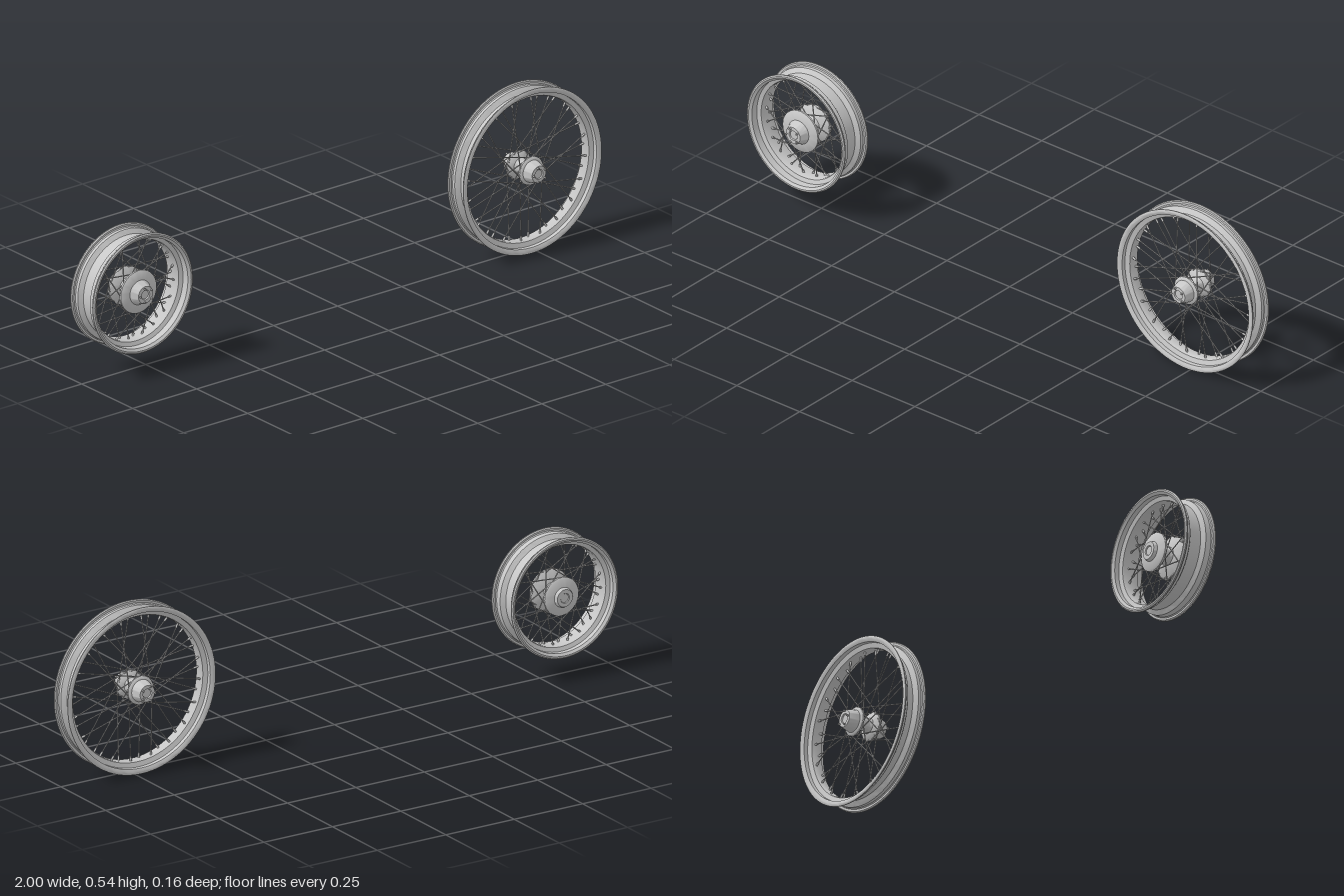
import * as THREE from 'three';
import { toCreasedNormals } from 'three/addons/utils/BufferGeometryUtils.js';

const steel = new THREE.MeshStandardMaterial({ color: 0xc8c8c8 });
steel.name = 'steel grey';

function add(parent, name, geometry) {
  const mesh = new THREE.Mesh(geometry, steel);
  mesh.name = name;
  parent.add(mesh);
  return mesh;
}

// Revolve [radius, z] points about the z axis, keeping hard steps crisp.
function turned(profile, segments) {
  const g = new THREE.LatheGeometry(profile.map(([r, z]) => new THREE.Vector2(r, z)), segments);
  g.rotateX(Math.PI / 2);
  return toCreasedNormals(g, 0.6);
}

// Round bar from a to b.
function bar(parent, name, a, b, radius, sides) {
  const dir = b.clone().sub(a);
  const mesh = add(parent, name, new THREE.CylinderGeometry(radius, radius, dir.length(), sides));
  mesh.position.copy(a).add(b).multiplyScalar(0.5);
  mesh.quaternion.setFromUnitVectors(new THREE.Vector3(0, 1, 0), dir.normalize());
}

const polar = (r, angle, z) => new THREE.Vector3(r * Math.cos(angle), r * Math.sin(angle), z);

// Closed section of a drop-centre rim with rolled lips.
function rimProfile({ radius, seat, well, half, lip, wellFrom, wellTo }) {
  const t = 0.005;
  const outer = [
    [seat, -half + lip + 0.003], [seat, wellFrom - 0.006], [seat - 0.003, wellFrom - 0.003],
    [well + 0.003, wellFrom], [well, wellFrom + 0.003],
    [well, wellTo - 0.003], [well + 0.003, wellTo], [seat - 0.003, wellTo + 0.003],
    [seat, wellTo + 0.006], [seat, half - lip - 0.003],
  ];
  const front = [
    [seat + 0.003, half - lip], [radius - 0.003, half - lip], [radius, half - lip * 0.65],
    [radius, half - lip * 0.3], [radius - 0.004, half], [radius - 0.009, half],
    [seat - t, half - lip * 0.6],
  ];
  const inner = [
    [seat - t, wellTo + 0.009], [well - t + 0.002, wellTo + 0.004], [well - t, wellTo],
    [well - t, wellFrom], [well - t + 0.002, wellFrom - 0.004], [seat - t, wellFrom - 0.009],
  ];
  const back = front.map(([r, z]) => [r, -z]).reverse();
  return [...outer, ...front, ...inner, ...back, outer[0]];
}

function makeWheel(name, o) {
  const wheel = new THREE.Group();
  wheel.name = name;
  add(wheel, 'rim', turned(rimProfile(o), 96));
  add(wheel, 'hub', turned(o.hub, 48));

  // Crossed spokes, alternating between flanges and lacing directions
  const spokes = new THREE.Group();
  spokes.name = 'spokes';
  wheel.add(spokes);
  const count = 40, mid = (o.wellFrom + o.wellTo) / 2;
  for (let k = 0; k < count; k++) {
    const side = k % 2 ? 1 : -1;
    const lace = Math.floor(k / 2) % 2 ? 1 : -1;
    const a = ((k + 0.5) / count) * Math.PI * 2;
    const flangeZ = side > 0 ? o.flangeFront : o.flangeBack;
    const start = polar(o.flangeR, a + lace * o.sweep, flangeZ + lace * 0.003);
    const end = polar(o.well - 0.003, a, mid + side * 0.006);
    bar(spokes, 'spoke', start, end, 0.0019, 6);
    bar(spokes, 'nipple', end.clone().lerp(start, 0.07), end, 0.0034, 8);
  }

  // Five bolts standing just off each exposed hub face
  for (const z of o.boltZ) {
    for (let i = 0; i < 5; i++) {
      const p = polar(0.0235, Math.PI + (i * Math.PI * 2) / 5, z);
      const bolt = add(wheel, 'hubBolt', new THREE.CylinderGeometry(0.003, 0.003, 0.006, 10));
      bolt.rotation.x = Math.PI / 2;
      bolt.position.copy(p);
    }
  }
  return wheel;
}

export function createModel() {
  const model = new THREE.Group();
  model.name = 'wheelPair';

  // Large narrow wheel with matching flared hub ends
  const halfHub = [
    [0.02, 0.0], [0.02, 0.012], [0.025, 0.02], [0.044, 0.027], [0.046, 0.029], [0.046, 0.034],
    [0.044, 0.036], [0.036, 0.038], [0.035, 0.043], [0.029, 0.068], [0.027, 0.071],
    [0.016, 0.071], [0.014, 0.067], [0, 0.067],
  ];
  const large = makeWheel('largeWheel', {
    radius: 0.27, seat: 0.257, well: 0.24, half: 0.042, lip: 0.009, wellFrom: -0.014, wellTo: 0.014,
    hub: [...halfHub.slice(1).map(([r, z]) => [r, -z]).reverse(), ...halfHub],
    flangeR: 0.042, flangeFront: 0.031, flangeBack: -0.031, sweep: 1.2, boltZ: [0.077, -0.077],
  });
  large.position.set(0.73, 0.271, 0);
  model.add(large);

  // Small wide wheel with a broad front flange and a flat back cover
  const small = makeWheel('smallWheel', {
    radius: 0.195, seat: 0.183, well: 0.168, half: 0.059, lip: 0.011, wellFrom: -0.028, wellTo: 0.02,
    hub: [
      [0, -0.054], [0.014, -0.054], [0.016, -0.057], [0.028, -0.057], [0.03, -0.054], [0.032, -0.046],
      [0.056, -0.042], [0.062, -0.038], [0.062, -0.032], [0.058, -0.028], [0.03, -0.02], [0.025, -0.012],
      [0.025, 0.008], [0.03, 0.016], [0.066, 0.026], [0.07, 0.029], [0.07, 0.035], [0.066, 0.038],
      [0.04, 0.042], [0.037, 0.046], [0.03, 0.066], [0.028, 0.069], [0.016, 0.069], [0.014, 0.065], [0, 0.065],
    ],
    flangeR: 0.06, flangeFront: 0.032, flangeBack: -0.034, sweep: 1.05, boltZ: [0.075],
  });
  small.position.set(-0.805, 0.267, 0);
  model.add(small);

  return model;
}
